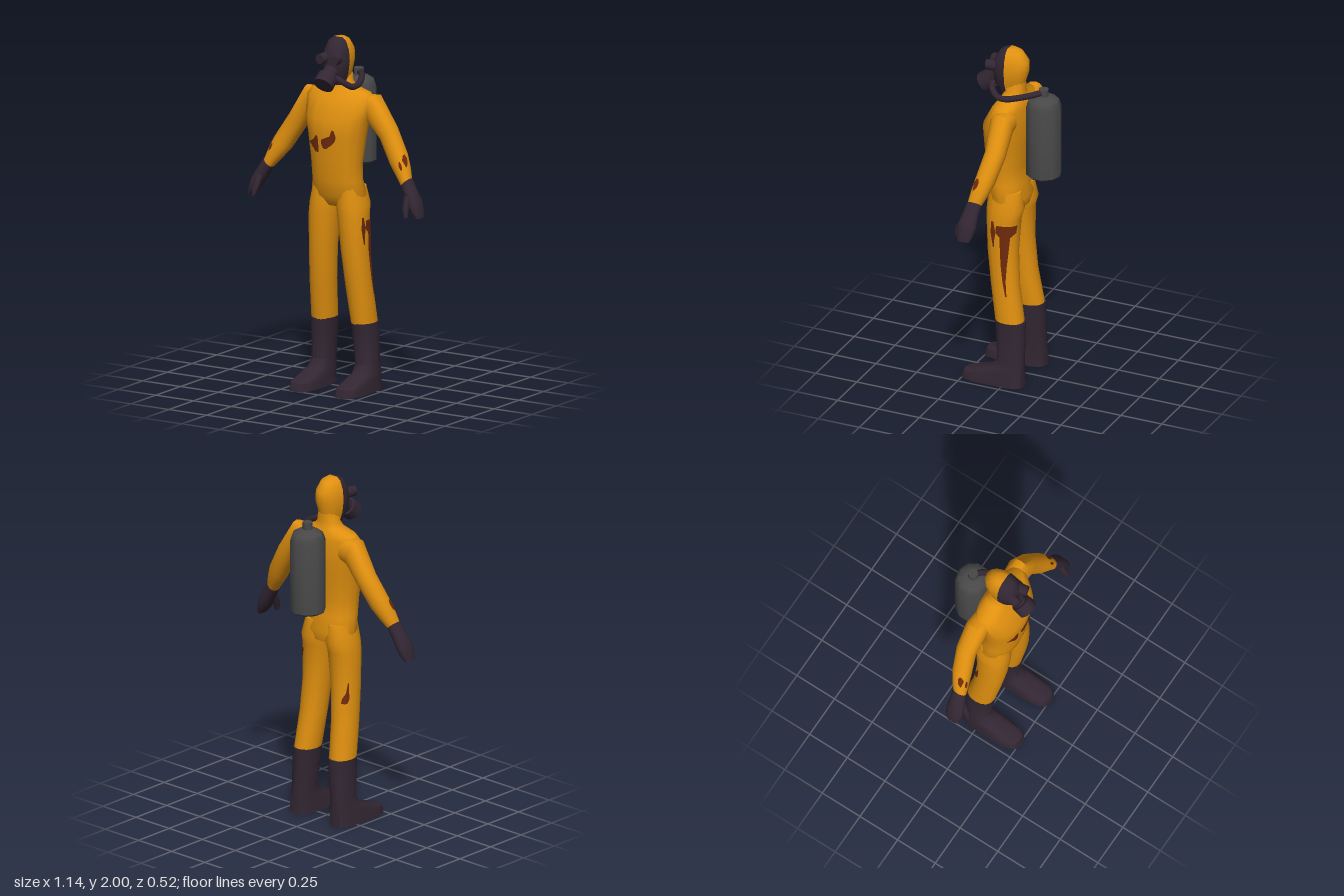
import * as THREE from 'three';
import { toCreasedNormals } from 'three/addons/utils/BufferGeometryUtils.js';

const mat = (name, color) => {
  const m = new THREE.MeshStandardMaterial({ color });
  m.name = name;
  return m;
};
const N = 16; // sides of every body cross-section; 0 = outward, 4 = front, 12 = back

// A ring is [cx, cy, cz, ru, rv, tilt, squareness]; band() makes a level one.
const band = (y, cx, rx, zFront, zBack, power = 0.9) =>
  [cx, y, (zFront + zBack) / 2, rx, (zFront - zBack) / 2, 0, power];

function ringPoint([cx, cy, cz, ru, rv, tilt = 0, power = 0.9], j) {
  const a = (j / N) * Math.PI * 2;
  const soft = (v) => Math.sign(v) * Math.abs(v) ** power;
  const u = soft(Math.cos(a)) * ru, v = soft(Math.sin(a)) * rv;
  return new THREE.Vector3(cx + u * Math.cos(tilt), cy + u * Math.sin(tilt), cz + v);
}

// Skin over rows of points, with optional end caps around given centres
function skin(rows, closed, capCentres) {
  const w = rows[0].length, index = [], pts = rows.flat();
  const steps = closed ? w : w - 1;
  for (let i = 0; i < rows.length - 1; i++) {
    for (let j = 0; j < steps; j++) {
      const k = (j + 1) % w, a = i * w + j, b = i * w + k;
      index.push(a, b, b + w, a, b + w, a + w);
    }
  }
  if (capCentres) {
    const last = (rows.length - 1) * w, c = pts.length;
    pts.push(...capCentres);
    for (let j = 0; j < steps; j++) {
      const k = (j + 1) % w;
      index.push(c, k, j, c + 1, last + j, last + k);
    }
  }
  const g = new THREE.BufferGeometry().setFromPoints(pts);
  g.setIndex(index);
  return g;
}

function loft(rings, from = 0, to = N) {
  const closed = to - from === N, count = closed ? N : to - from + 1;
  const rows = rings.map((r) => Array.from({ length: count }, (_, j) => ringPoint(r, from + j)));
  const centre = (r) => new THREE.Vector3(r[0], r[1], r[2]);
  return skin(rows, closed, [centre(rings[0]), centre(rings[rings.length - 1])]);
}

// Thin stain lying on a loft; rows are [height, side from, side to]
function stain(rings, rows) {
  const onSurface = (y, j) => {
    let i = 0;
    while (i < rings.length - 2 && rings[i + 1][1] > y) i++;
    const A = rings[i], B = rings[i + 1], t = (y - A[1]) / (B[1] - A[1]);
    const f = Math.floor(j);
    const facet = (r) => ringPoint(r, f).lerp(ringPoint(r, f + 1), j - f);
    const p = facet(A).lerp(facet(B), t);
    const c = new THREE.Vector3(...A.slice(0, 3)).lerp(new THREE.Vector3(...B.slice(0, 3)), t);
    return p.add(p.clone().sub(c).setLength(0.005));
  };
  return skin(rows.map(([y, a, b]) =>
    Array.from({ length: 9 }, (_, k) => onSurface(y, a + ((b - a) * k) / 8))), false);
}

function mirrored(geometry) {
  const g = geometry.clone().scale(-1, 1, 1), ix = g.index.array;
  for (let i = 0; i < ix.length; i += 3) [ix[i + 1], ix[i + 2]] = [ix[i + 2], ix[i + 1]];
  return g;
}

export function createModel() {
  const suit = mat('orange suit', 0xe0900f);
  const rubber = mat('dark rubber', 0x322632);
  const metal = mat('grey metal', 0x484848);
  const rust = mat('dark red stain', 0x6e2a0c);
  const model = new THREE.Group();
  model.name = 'suitedFigure';

  const add = (name, geometry, material, crease = 0.95) => {
    const mesh = new THREE.Mesh(toCreasedNormals(geometry, crease), material);
    mesh.name = name;
    model.add(mesh);
    return mesh;
  };
  const addPair = (name, geometry, material, crease) => {
    add('left' + name, geometry, material, crease);
    add('right' + name, mirrored(geometry), material, crease);
  };

  // Torso with neck
  const torso = [
    band(1.83, 0, 0.055, 0.07, -0.045), band(1.75, 0, 0.065, 0.07, -0.045),
    band(1.72, 0, 0.088, 0.08, -0.05), band(1.695, 0, 0.19, 0.095, -0.06),
    band(1.66, 0, 0.21, 0.12, -0.068), band(1.55, 0, 0.192, 0.18, -0.073),
    band(1.45, 0, 0.173, 0.178, -0.066), band(1.3, 0, 0.153, 0.167, -0.045),
    band(1.2, 0, 0.15, 0.157, -0.048), band(1.11, 0, 0.165, 0.142, -0.075),
    band(1.05, 0, 0.14, 0.11, -0.06),
  ];
  add('torso', loft(torso), suit, 1.2);

  // Legs
  const leg = [
    band(1.16, 0.08, 0.07, 0.13, -0.06), band(1.06, 0.088, 0.085, 0.138, -0.078),
    band(1.0, 0.094, 0.084, 0.137, -0.06), band(0.8, 0.106, 0.075, 0.125, -0.05),
    band(0.6, 0.118, 0.072, 0.1, -0.062), band(0.37, 0.132, 0.067, 0.066, -0.1),
  ];
  addPair('Leg', loft(leg), suit);

  // Boots: shaft, ankle, then the long foot
  addPair('Boot', loft([
    band(0.385, 0.132, 0.07, 0.068, -0.106), band(0.15, 0.144, 0.061, 0.05, -0.106),
    band(0.1, 0.147, 0.064, 0.085, -0.108, 0.75), band(0.045, 0.15, 0.071, 0.25, -0.11, 0.65),
    band(0, 0.15, 0.075, 0.263, -0.114, 0.65),
  ]), rubber, 0.7);

  // Arms
  const arm = [
    [0.13, 1.615, 0.005, 0.07, 0.06, 1.45], [0.205, 1.612, 0.002, 0.084, 0.066, 1.2],
    [0.3, 1.48, -0.004, 0.059, 0.058, 0.75], [0.382, 1.347, 0.02, 0.058, 0.055, 0.65],
    [0.425, 1.28, 0.037, 0.046, 0.048, 0.72], [0.462, 1.215, 0.055, 0.031, 0.037, 0.78],
  ];
  addPair('Arm', loft(arm), suit);

  // Gloves with a separate thumb
  addPair('Glove', loft([
    [0.454, 1.23, 0.052, 0.037, 0.043, 0.75], [0.485, 1.18, 0.06, 0.036, 0.046, 0.65],
    [0.518, 1.125, 0.066, 0.035, 0.055, 0.5], [0.54, 1.075, 0.07, 0.027, 0.05, 0.35],
    [0.557, 1.042, 0.072, 0.014, 0.036, 0.3],
  ]), rubber, 0.7);
  addPair('Thumb', loft([
    [0.488, 1.165, 0.09, 0.022, 0.022, 0.2], [0.495, 1.1, 0.122, 0.019, 0.021, 0.1],
    [0.505, 1.05, 0.135, 0.01, 0.013, 0.1],
  ]), rubber);

  // Head: mask in front of z = 0.05, hood behind it
  const head = [
    [2.0, 0.028, 0.07, 0.0], [1.983, 0.052, 0.1, -0.032], [1.93, 0.072, 0.132, -0.068],
    [1.87, 0.077, 0.145, -0.067], [1.8, 0.068, 0.14, -0.045], [1.735, 0.045, 0.1, -0.035],
  ];
  add('mask', loft(head.map(([y, rx, zf]) => [0, y, 0.05, rx, zf - 0.05])
    , 0, N / 2), rubber);
  add('hood', loft(head.map(([y, rx, , zb]) => [0, y, 0.05, rx, 0.05 - zb])
    , N / 2, N), suit);

  // Mask eyepieces
  const eye = new THREE.CylinderGeometry(0.029, 0.033, 0.06, 12)
    .rotateX(Math.PI / 2).rotateY(0.2).translate(0.04, 1.89, 0.142);
  addPair('Eyepiece', eye, rubber, 0.7);

  // Filter canister pointing forward and down, with its neck
  const tilt = Math.PI / 2 + 0.7;
  add('filter', new THREE.CylinderGeometry(0.059, 0.057, 0.065, 14)
    .rotateX(tilt).translate(0, 1.773, 0.178), rubber, 0.7);
  add('filterNeck', new THREE.CylinderGeometry(0.042, 0.046, 0.07, 12)
    .rotateX(tilt).translate(0, 1.81, 0.13), rubber, 0.7);

  // Air hose over the left shoulder
  const hosePath = new THREE.CatmullRomCurve3([
    [0.035, 1.785, 0.135], [0.075, 1.765, 0.12], [0.102, 1.735, 0.08], [0.108, 1.73, 0.03],
    [0.085, 1.745, -0.05], [0.045, 1.76, -0.12], [0, 1.766, -0.16],
  ].map((p) => new THREE.Vector3(...p)));
  add('hose', new THREE.TubeGeometry(hosePath, 28, 0.018, 8), rubber);

  // Air tank with valve
  const tankProfile = [[0, 1.255], [0.09, 1.255], [0.1, 1.265], [0.1, 1.68], [0.086, 1.72],
    [0.05, 1.742], [0.028, 1.745], [0.028, 1.785], [0, 1.785]];
  add('airTank', new THREE.LatheGeometry(tankProfile.map((p) => new THREE.Vector2(...p)), 10)
    .translate(0, 0, -0.16), metal, 0.75);

  // Stains on chest, legs and forearms
  add('chestStainRight', stain(torso, [[1.455, 4.75, 4.9], [1.43, 4.7, 5.25], [1.41, 4.7, 6.0],
    [1.39, 4.7, 5.6], [1.36, 4.75, 5.05]]), rust);
  add('chestStainMiddle', stain(torso, [[1.495, 3.35, 3.5], [1.46, 3.15, 3.65], [1.435, 3.2, 4.4],
    [1.41, 3.5, 4.4], [1.385, 3.95, 4.25]]), rust);
  add('leftLegStain', stain(leg, [[0.975, -3.2, 0.2], [0.93, -3.0, 0.3], [0.905, -1.9, -0.3],
    [0.8, -1.7, -0.4], [0.72, -1.3, -0.4], [0.64, -1.0, -0.5], [0.55, -0.9, -0.7]]), rust);
  add('leftLegSpot', stain(leg, [[0.995, 0.6, 0.9], [0.93, 0.3, 1.1], [0.88, 0.5, 0.9],
    [0.84, 0.5, 0.7]]), rust);
  add('rightLegStain', mirrored(stain(leg, [[0.83, -1.5, -1.3], [0.77, -1.9, -1.3],
    [0.74, -2.6, -1.2], [0.71, -2.8, -1.6]])), rust);
  addPair('ArmStain', stain(arm, [[1.345, 0.6, 1.2], [1.325, 0.2, 1.8], [1.3, 0.3, 1.4],
    [1.285, 0.9, 1.2]]), rust);
  addPair('ArmSpot', stain(arm, [[1.325, 2.5, 2.9], [1.305, 2.3, 3.2], [1.285, 2.6, 3.0]]), rust);

  return model;
}
